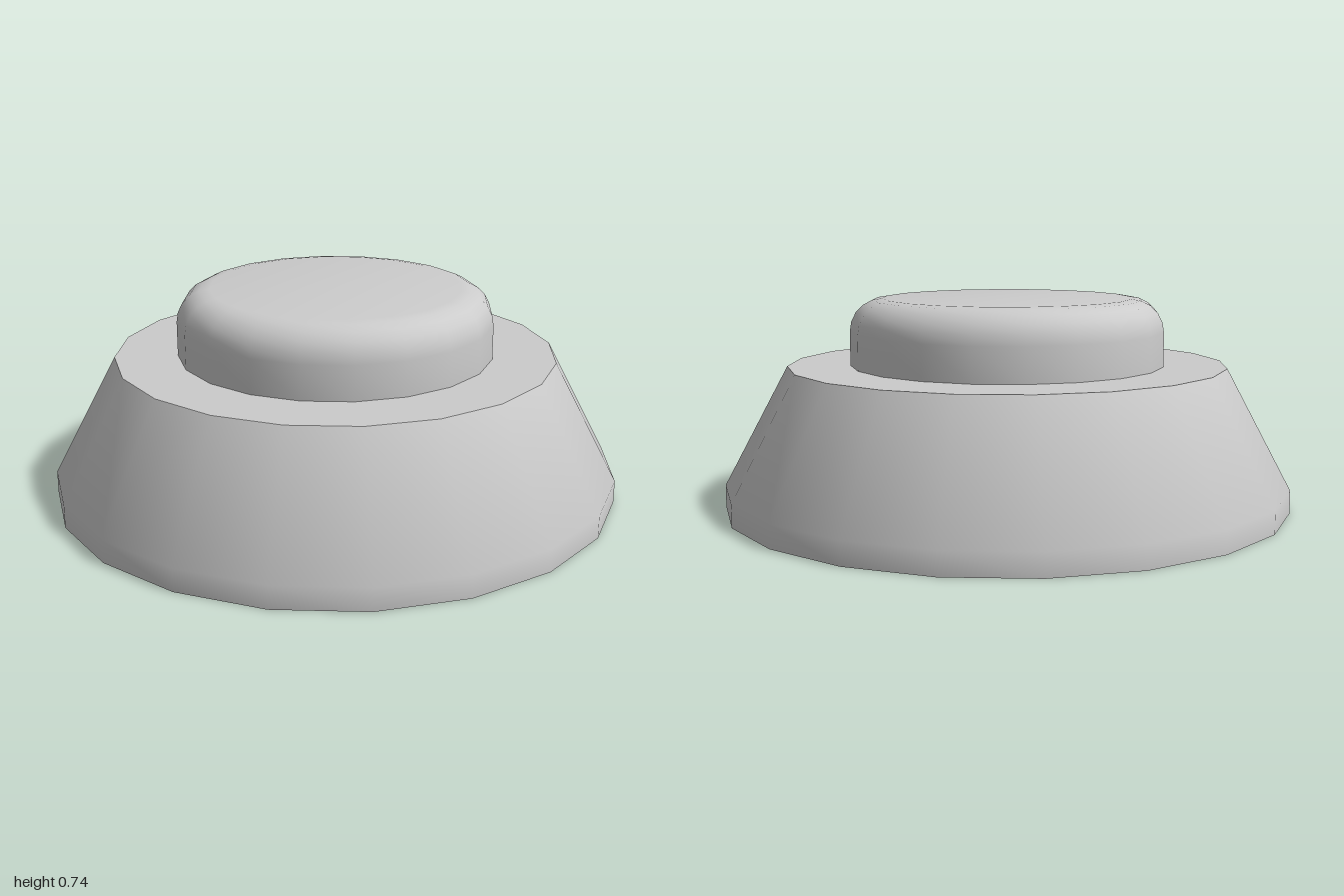
import * as THREE from 'three';
import { toCreasedNormals } from 'three/addons/utils/BufferGeometryUtils.js';

const SIDES = 20;

// Revolve a [radius, height] profile; soft slopes stay smooth, hard rims stay sharp
function turned(name, profile, material) {
  const points = profile.map(([r, y]) => new THREE.Vector2(r, y));
  const geometry = toCreasedNormals(new THREE.LatheGeometry(points, SIDES), 0.7);
  const mesh = new THREE.Mesh(geometry, material);
  mesh.name = name;
  return mesh;
}

export function createModel() {
  const group = new THREE.Group();
  group.name = 'pushButton';
  const material = new THREE.MeshStandardMaterial({ color: 0xcccccc });

  // Tapered housing with a short upright rim and a flat deck
  group.add(turned('base', [[0, 0], [1, 0], [1, 0.08], [0.775, 0.5], [0, 0.5]], material));

  // Round cap with a rolled top edge, standing on the deck
  const radius = 0.555, top = 0.735, fillet = 0.115, steps = 5;
  const cap = [[radius, 0.5]];
  for (let i = 0; i <= steps; i++) {
    const a = (i / steps) * Math.PI / 2;
    cap.push([radius - fillet + fillet * Math.cos(a), top - fillet + fillet * Math.sin(a)]);
  }
  cap.push([0, top]);
  group.add(turned('button', cap, material));

  return group;
}
